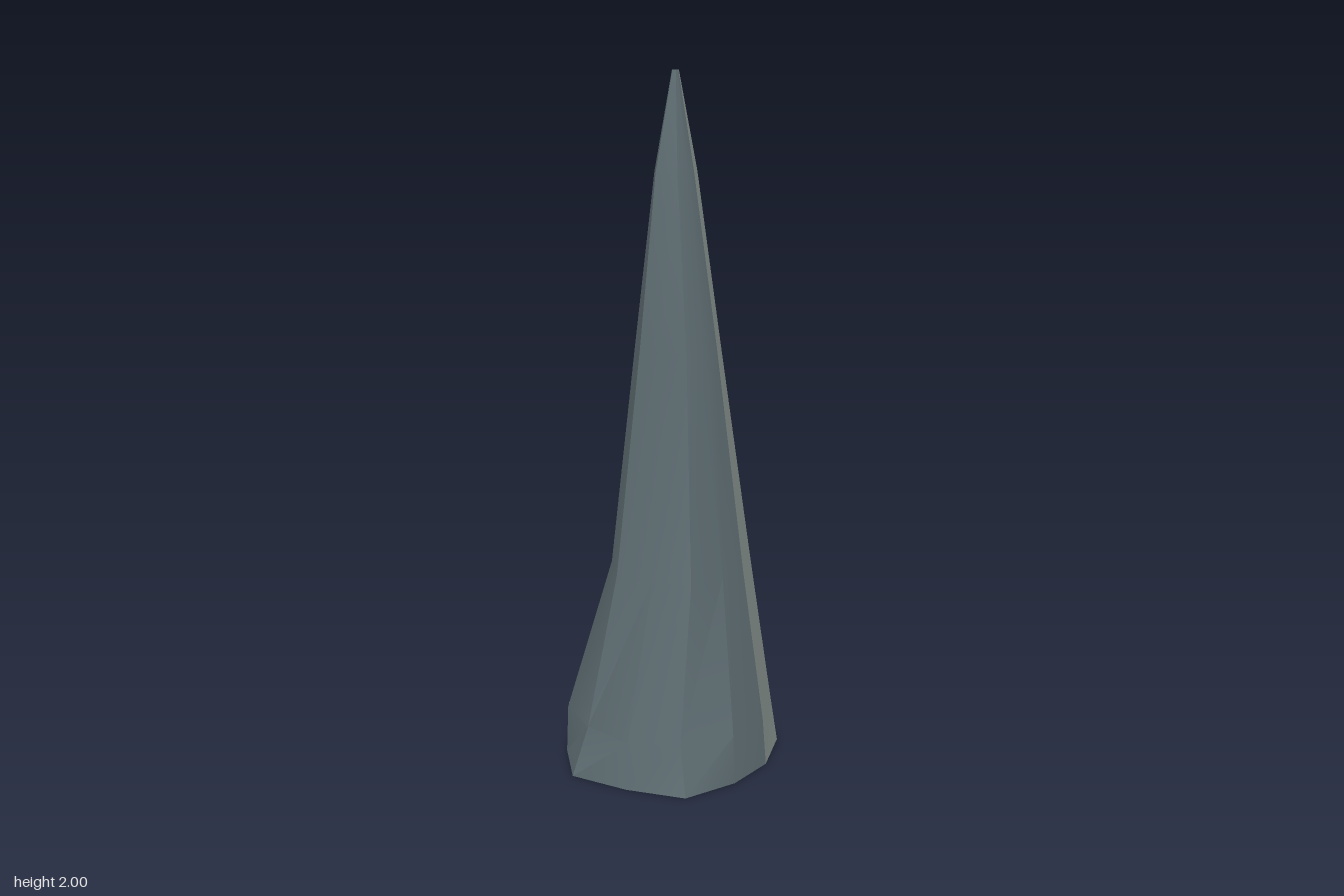
import * as THREE from 'three';
import { toCreasedNormals } from 'three/addons/utils/BufferGeometryUtils.js';

const mat = (name, color) => {
  const m = new THREE.MeshStandardMaterial({ color });
  m.name = name;
  return m;
};

// Irregular outlines as [x, z], clockwise from above
const FOOT = [[-0.205, -0.278], [-0.02, -0.303], [0.155, -0.314], [0.262, -0.173], [0.302, -0.018],
  [0.288, 0.153], [0.14, 0.248], [-0.028, 0.312], [-0.18, 0.22], [-0.297, 0.073], [-0.303, -0.11]];
const SHOULDER = [[-0.19, -0.255], [-0.01, -0.275], [0.15, -0.29], [0.255, -0.165], [0.292, -0.02],
  [0.25, 0.14], [0.14, 0.242], [-0.025, 0.257], [-0.178, 0.215], [-0.24, 0.058], [-0.26, -0.1]];

// Upper rings: height, centre x and z, scale of the foot in x and z
const UPPER = [
  [0.6, 0.04, -0.012, 0.65, 0.63],
  [1.25, 0.065, 0.0125, 0.41, 0.36],
  [1.73, 0.083, 0.03, 0.175, 0.19],
  [2.0, 0.09, 0.032, 0.03, 0.03],
];
const VEINS = [2, 8];

const lift = (outline, y) => outline.map(([x, z]) => [x, y, z]);

function creased(points) {
  const g = new THREE.BufferGeometry();
  g.setAttribute('position', new THREE.Float32BufferAttribute(points.flat(), 3));
  return toCreasedNormals(g, 0.4);
}

export function createModel() {
  const group = new THREE.Group();
  group.name = 'stoneSpire';
  const slate = mat('slate', 0x5f6e73);
  const paleStone = mat('paleStone', 0x8f9a96);
  const crystalGrey = mat('crystalGrey', 0xa2aca8);

  const rings = [lift(FOOT, 0), lift(SHOULDER, 0.14),
    ...UPPER.map(([y, cx, cz, sx, sz]) => FOOT.map(([x, z]) => [cx + x * sx, y, cz + z * sz]))];
  const n = FOOT.length;

  // One tall column of quads between neighbouring corners
  const column = (i) => {
    const j = (i + 1) % n, out = [];
    for (let r = 0; r < rings.length - 1; r++) {
      const a = rings[r], b = rings[r + 1];
      out.push(a[j], a[i], b[i], a[j], b[i], b[j]);
    }
    return out;
  };

  // Slate body with its underside and blunt tip
  const body = [];
  const top = rings[rings.length - 1];
  for (let i = 0; i < n; i++) {
    const j = (i + 1) % n;
    if (!VEINS.includes(i)) body.push(...column(i));
    body.push([0, 0, 0], rings[0][i], rings[0][j]);
    body.push([0.09, 2, 0.032], top[j], top[i]);
  }
  const spire = new THREE.Mesh(creased(body), slate);
  spire.name = 'spire';
  group.add(spire);

  // Pale veins running to the tip
  VEINS.forEach((i, k) => {
    const vein = new THREE.Mesh(creased(column(i)), paleStone);
    vein.name = k ? 'frontVein' : 'backVein';
    group.add(vein);
  });

  // Small pointed crystal at the foot
  const crystal = new THREE.Group();
  crystal.name = 'crystal';
  const shaft = new THREE.Mesh(
    toCreasedNormals(new THREE.CylinderGeometry(0.03, 0.024, 0.1, 5), 0.4), crystalGrey);
  shaft.name = 'crystalShaft';
  shaft.position.y = 0.06;
  const tip = new THREE.Mesh(
    toCreasedNormals(new THREE.ConeGeometry(0.03, 0.03, 5), 0.2), crystalGrey);
  tip.name = 'crystalTip';
  tip.position.y = 0.125;
  crystal.add(shaft, tip);
  crystal.scale.z = 1.5;
  crystal.rotation.y = Math.PI;
  crystal.position.set(-0.237, 0, 0.119);
  group.add(crystal);

  return group;
}
